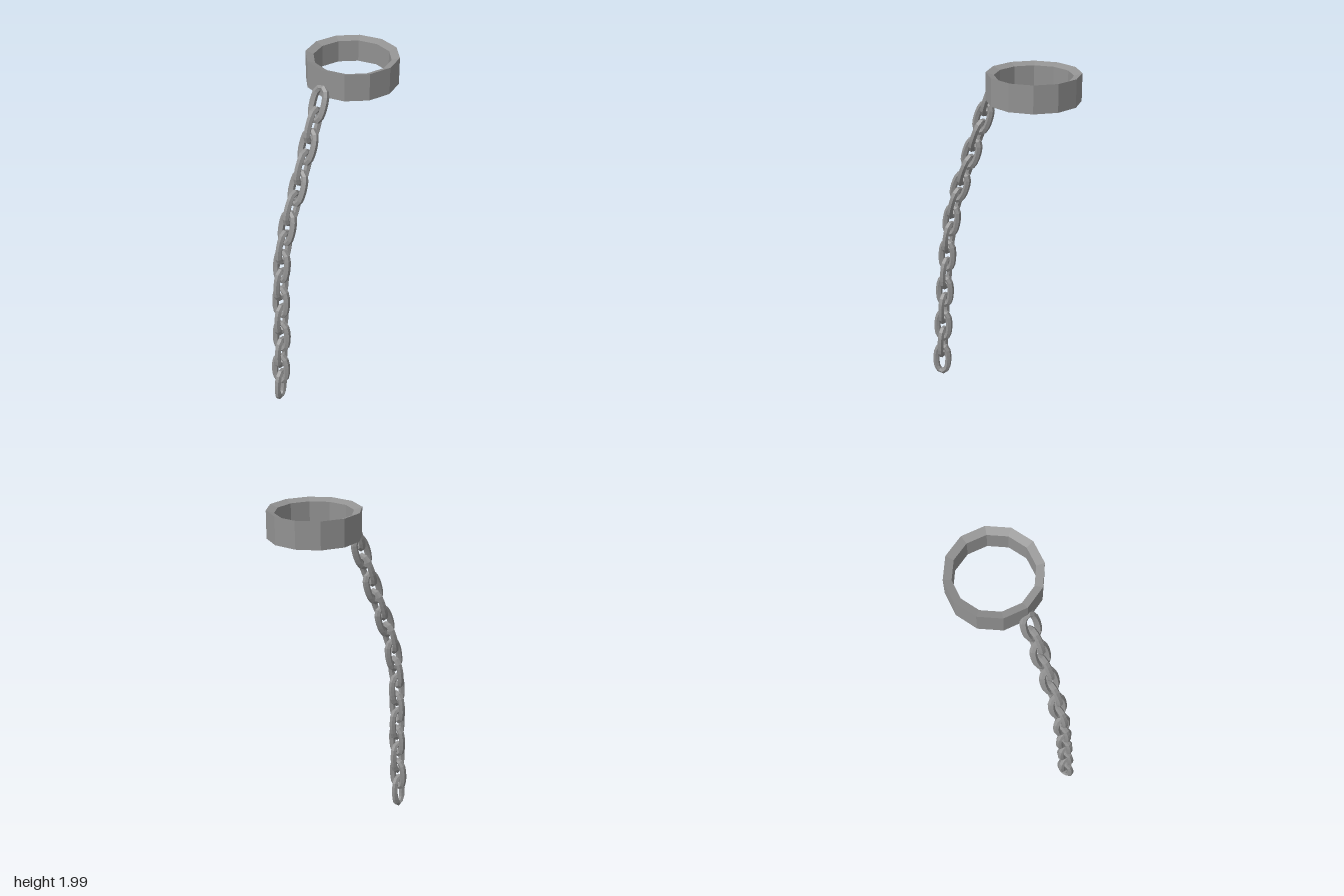
import * as THREE from 'three';

export function createModel() {
  const model = new THREE.Group();
  const iron = new THREE.MeshStandardMaterial({ color: 0x929292, flatShading: true });
  iron.name = 'grey iron';

  // Twelve-sided collar with rims sloping slightly inward
  const profile = [
    [0.209, 1.865], [0.252, 1.85], [0.252, 2], [0.209, 1.985], [0.209, 1.865],
  ].map(([r, y]) => new THREE.Vector2(r, y));
  const collar = new THREE.Mesh(new THREE.LatheGeometry(profile, 12), iron);
  collar.name = 'collar';
  collar.position.z = -0.216;
  model.add(collar);

  // One oval link, standing upright and facing the front
  const oval = [
    [0.037, -0.035], [0.037, 0.035], [0.026, 0.074], [0, 0.0915],
    [-0.026, 0.074], [-0.037, 0.035], [-0.037, -0.035], [-0.026, -0.074],
    [0, -0.0915], [0.026, -0.074],
  ].map(([x, y]) => new THREE.Vector3(x, y, 0));
  const linkGeometry = new THREE.TubeGeometry(
    new THREE.CatmullRomCurve3(oval, true), 16, 0.019, 6, true);

  // Path of the hanging chain through the link centres
  const path = new THREE.CatmullRomCurve3([
    [0, 1.815, 0.06], [-0.004, 1.6, 0.14], [-0.007, 1.38, 0.222],
    [-0.015, 1.16, 0.305], [-0.017, 0.935, 0.354], [-0.01, 0.705, 0.376],
    [0, 0.475, 0.39], [0, 0.24, 0.404], [0.001, 0.111, 0.411],
  ].map((p) => new THREE.Vector3(...p)));

  // Alternate links are turned a quarter, with a slight twist near the bottom
  const chain = new THREE.Group();
  chain.name = 'chain';
  const count = 16;
  for (let i = 0; i < count; i++) {
    const t = i / (count - 1);
    const link = new THREE.Mesh(linkGeometry, iron);
    link.name = 'chainLink' + (i + 1);
    link.position.copy(path.getPointAt(t));
    const down = path.getTangentAt(t);
    const twist = 0.25 * Math.max(0, t * 2 - 1);
    link.rotation.set(-Math.atan2(down.z, -down.y), (i % 2 ? -Math.PI / 2 : 0) + twist, 0);
    chain.add(link);
  }
  model.add(chain);
  return model;
}
